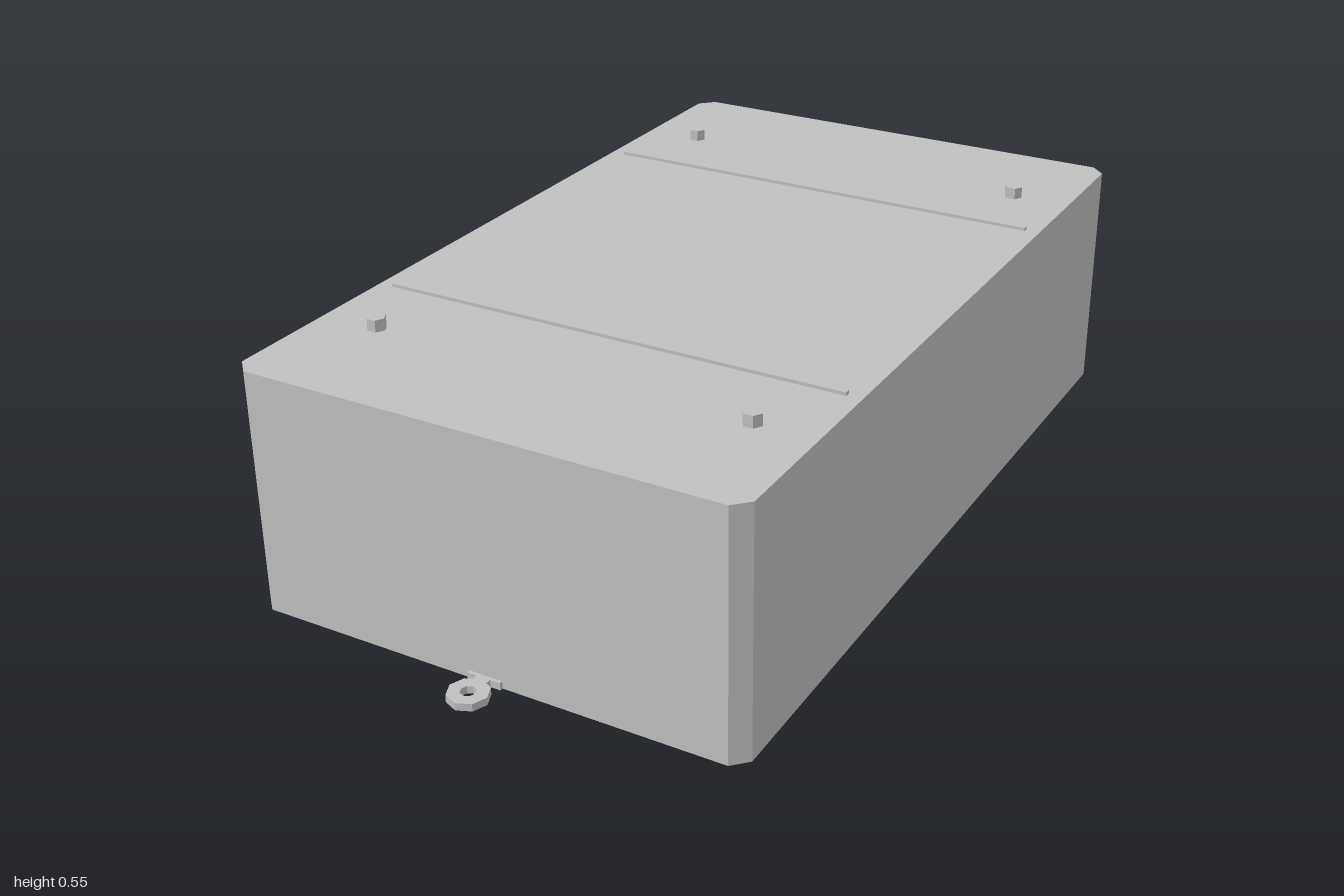
import * as THREE from 'three';

export function createModel() {
  const group = new THREE.Group();
  const grey = new THREE.MeshStandardMaterial({ color: 0xc0c0c0, flatShading: true });
  grey.name = 'plain grey';

  const add = (name, geometry, x = 0, y = 0, z = 0) => {
    const mesh = new THREE.Mesh(geometry, grey);
    mesh.name = name;
    mesh.position.set(x, y, z);
    group.add(mesh);
    return mesh;
  };

  // Extrude a plan outline upwards from y = 0
  const slab = (shape, height) =>
    new THREE.ExtrudeGeometry(shape, { depth: height, bevelEnabled: false }).rotateX(-Math.PI / 2);

  const polygon = (radius, sides) => Array.from({ length: sides }, (_, i) => {
    const a = (i / sides) * Math.PI * 2;
    return new THREE.Vector2(radius * Math.cos(a), radius * Math.sin(a));
  });

  // Main box with chamfered vertical corners
  const w = 0.542, d = 0.903, c = 0.031, h = 0.523;
  const plan = new THREE.Shape([
    [w - c, -d], [w, c - d], [w, d - c], [w - c, d],
    [c - w, d], [-w, d - c], [-w, c - d], [c - w, -d],
  ].map(([x, y]) => new THREE.Vector2(x, y)));
  add('body', slab(plan, h));

  // Octagonal eyelet outline with a round hole
  const eyelet = new THREE.Shape(polygon(0.042, 8));
  eyelet.holes.push(new THREE.Path(polygon(0.016, 8).reverse()));

  for (const s of [-1, 1]) {
    // Raised strip across the lid
    add('lidRib', new THREE.BoxGeometry(1.02, 0.012, 0.012), 0, h + 0.001, s * 0.452);

    // Mounting lug at each end
    add('lugEyelet', slab(eyelet, 0.016), 0, 0, s * 0.958);
    add('lugPlate', new THREE.BoxGeometry(0.074, 0.016, 0.014), 0, 0.008, s * 0.903);
    add('lugNeck', new THREE.BoxGeometry(0.03, 0.016, 0.014), 0, 0.008, s * 0.914);

    // Pipe stub on the back
    const pipe = new THREE.CylinderGeometry(0.024, 0.024, 0.085, 8).rotateX(Math.PI / 2);
    add('backPipe', pipe, s * 0.305, 0.057, -0.937);

    // Hexagonal pegs on the lid
    for (const t of [-1, 1]) {
      const peg = new THREE.CylinderGeometry(0.02, 0.02, 0.03, 6).rotateY(Math.PI / 6);
      add('lidPeg', peg, s * 0.412, h + 0.01, t * 0.633);
    }
  }
  return group;
}
